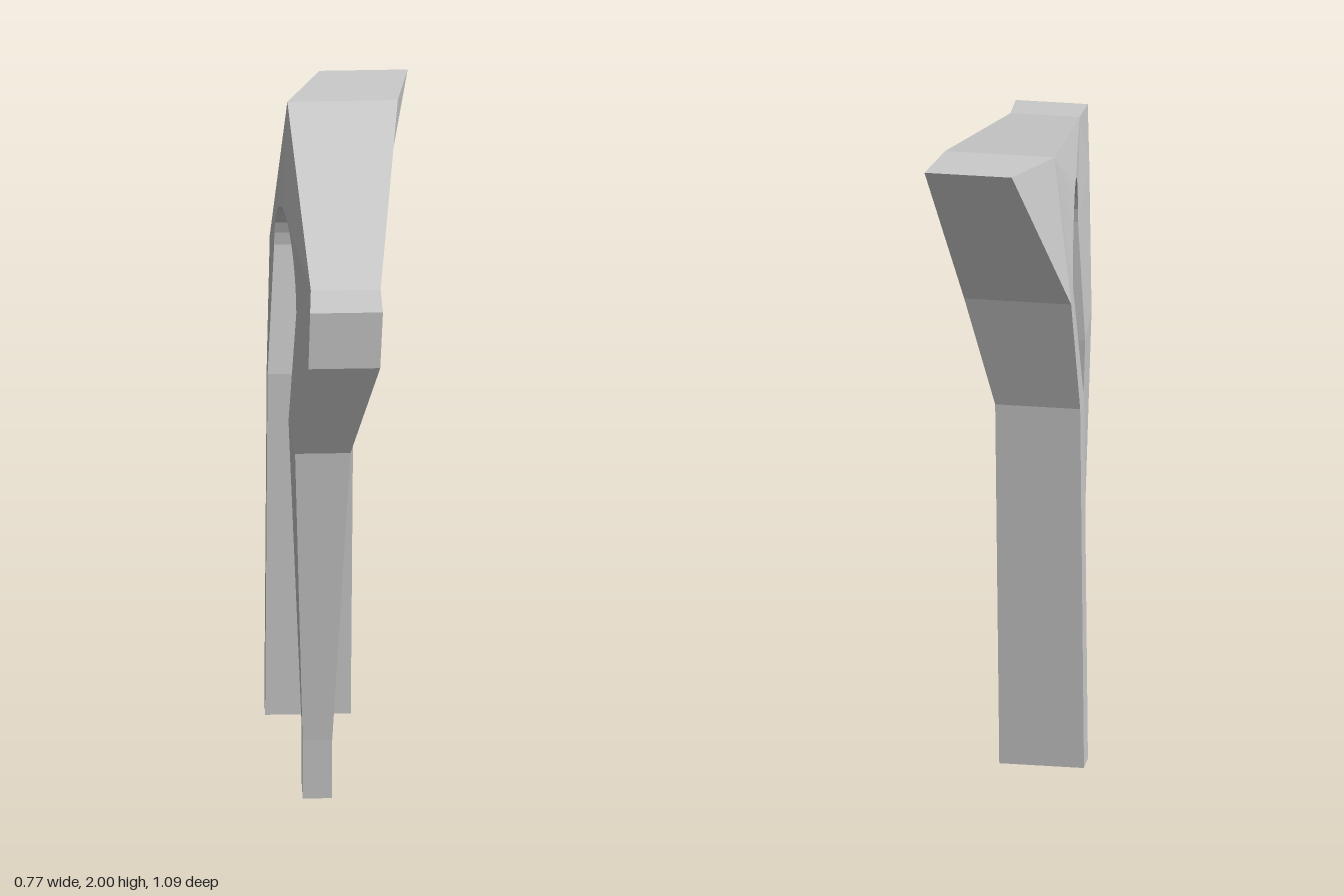
import * as THREE from 'three';

// Local frame: u runs along the span, y is up, w runs through the thickness.
const U = [0.55, 0.835], W = [0.835, -0.55];
const place = (u, y, w) => [u * U[0] + w * W[0], y, u * U[1] + w * W[1]];

// Profile points: [u, y, w of front face, w of back face]
function outerProfile() {
  return [
    [-0.24, 0, -0.242, 0.013],     // 0 wide leg foot
    [-0.262, 1.16, -0.234, 0.022], // 1 wide leg knee
    [-0.362, 1.535, -0.222, 0.1],  // 2 wide leg shoulder
    [-0.531, 2, -0.069, 0.194],    // 3 high tip
    [-0.351, 2, -0.17, 0.159],     // 4 start of slope
    [0.441, 1.81, -0.125, 0.083],  // 5 end of slope
    [0.564, 1.803, -0.131, 0.086], // 6 low tip
    [0.562, 1.61, -0.136, 0.078],  // 7 low tip underside
    [0.383, 1.215, -0.17, -0.005], // 8 narrow leg knee
    [0.336, 0.2, -0.146, -0.058],  // 9 narrow leg ankle
    [0.336, 0, -0.146, -0.058],    // 10 narrow leg foot
  ];
}

const ARCH = 16;
function innerProfile() {
  const pts = [[-0.162, 0, -0.242, 0.013], [-0.185, 1.16, -0.234, 0.022]];
  // Semicircular opening, with the faces tapering across it
  for (let i = 0; i <= ARCH; i++) {
    const a = Math.PI * (1 - i / ARCH), t = (1 + Math.cos(a)) / 2;
    pts.push([
      -0.042 + 0.222 * Math.cos(a), 1.56 + 0.222 * Math.sin(a) + 0.02 * t,
      THREE.MathUtils.lerp(-0.212, -0.16, t), THREE.MathUtils.lerp(0.104, 0.082, t),
    ]);
  }
  pts.push([0.172, 1.205, -0.183, -0.003], [0.225, 0.2, -0.146, -0.058], [0.225, 0, -0.146, -0.058]);
  return pts;
}

function archGeometry() {
  const outer = outerProfile(), inner = innerProfile(), pos = [];
  const front = p => place(p[0], p[1], p[2]);
  const back = p => place(p[0], p[1], p[3]);
  const tri = (a, b, c) => pos.push(...a, ...b, ...c);
  // One triangle on the front face and its counterpart on the back
  const cap = (a, b, c) => {
    tri(front(a), front(b), front(c));
    tri(back(a), back(c), back(b));
  };

  // Pairs of inner and outer indices that the faces are strung between
  const first = 2, mid = first + ARCH / 2, last = first + ARCH;
  const pairs = [[0, 0], [1, 1], [first, 2]];
  for (let i = first; i <= mid; i++) pairs.push([i, 4]);
  for (let i = mid; i <= last; i++) pairs.push([i, 5]);
  pairs.push([last, 7], [last + 1, 8], [last + 2, 9], [last + 3, 10]);
  for (let k = 0; k + 1 < pairs.length; k++) {
    const [i0, o0] = pairs[k], [i1, o1] = pairs[k + 1];
    if (i0 !== i1) cap(inner[i0], inner[i1], outer[o1]);
    if (o0 !== o1) cap(inner[i0], outer[o1], outer[o0]);
  }
  // Projecting corners at both ends of the top
  cap(outer[4], outer[3], outer[2]);
  cap(outer[7], outer[6], outer[5]);

  // Walls around the whole outline, including opening and feet
  const loop = [...outer, ...inner.slice().reverse()];
  loop.forEach((a, k) => {
    const b = loop[(k + 1) % loop.length];
    tri(back(a), front(a), front(b));
    tri(back(a), front(b), back(b));
  });

  const g = new THREE.BufferGeometry();
  g.setAttribute('position', new THREE.Float32BufferAttribute(pos, 3));
  g.computeVertexNormals();
  return g;
}

export function createModel() {
  const group = new THREE.Group();
  group.name = 'archSculpture';
  const material = new THREE.MeshStandardMaterial({ color: 0xcccccc, flatShading: true });
  const arch = new THREE.Mesh(archGeometry(), material);
  arch.name = 'twoLeggedArch';
  group.add(arch);
  return group;
}
